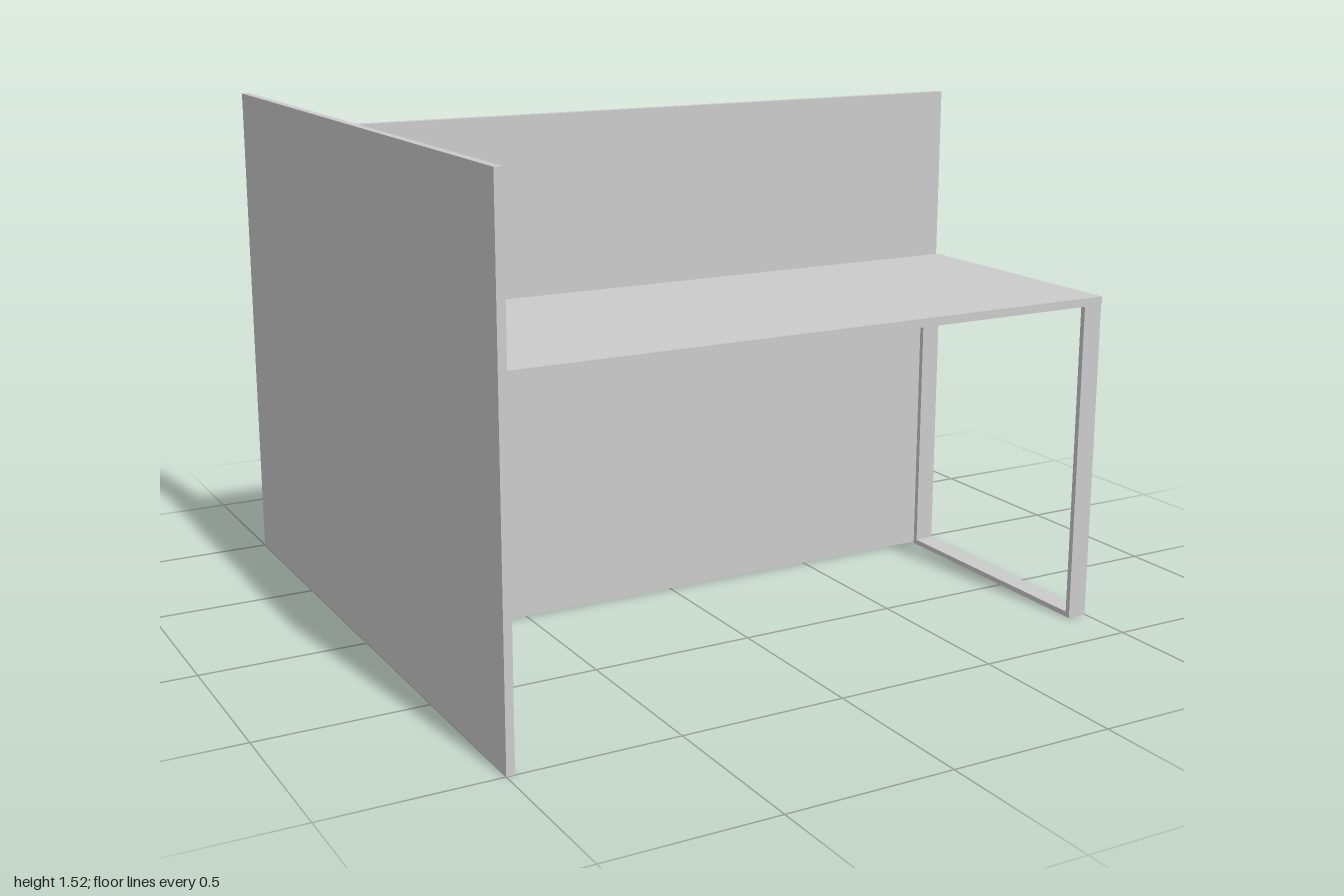
import * as THREE from 'three';

const material = new THREE.MeshStandardMaterial({ color: 0xcccccc });

// Box given by its min and max corners
function slab(name, [x0, y0, z0], [x1, y1, z1]) {
  const mesh = new THREE.Mesh(new THREE.BoxGeometry(x1 - x0, y1 - y0, z1 - z0), material);
  mesh.position.set((x0 + x1) / 2, (y0 + y1) / 2, (z0 + z1) / 2);
  mesh.name = name;
  return mesh;
}

// Open U-shaped leg frame: two uprights joined by a floor bar
function legFrame(name, z0, z1) {
  const frame = new THREE.Group();
  frame.name = name;
  const t = 0.016, x0 = 0.937, x1 = 0.998, top = 0.965;
  frame.add(
    slab('floorBar', [x0, 0, z0], [x1, t, z1]),
    slab('rearUpright', [x0, t, z0], [x1, top, z0 + t]),
    slab('frontUpright', [x0, t, z1 - t], [x1, top, z1]),
  );
  return frame;
}

export function createModel() {
  const group = new THREE.Group();
  group.name = 'doubleWorkstation';

  // Tall privacy panels forming a T
  const inner = -0.976, height = 1.52;
  group.add(
    slab('sidePanel', [-1, 0, -1], [inner, height, 1]),
    slab('centreDivider', [inner, 0, 0], [1, height, 0.024]),
  );

  // One desk on each side of the divider
  group.add(
    slab('frontDesktop', [inner, 0.965, 0.033], [1, 0.99, 0.832]),
    slab('backDesktop', [inner, 0.965, -0.81], [1, 0.99, -0.011]),
    legFrame('frontLegFrame', 0.036, 0.832),
    legFrame('backLegFrame', -0.8, -0.004),
  );
  return group;
}
